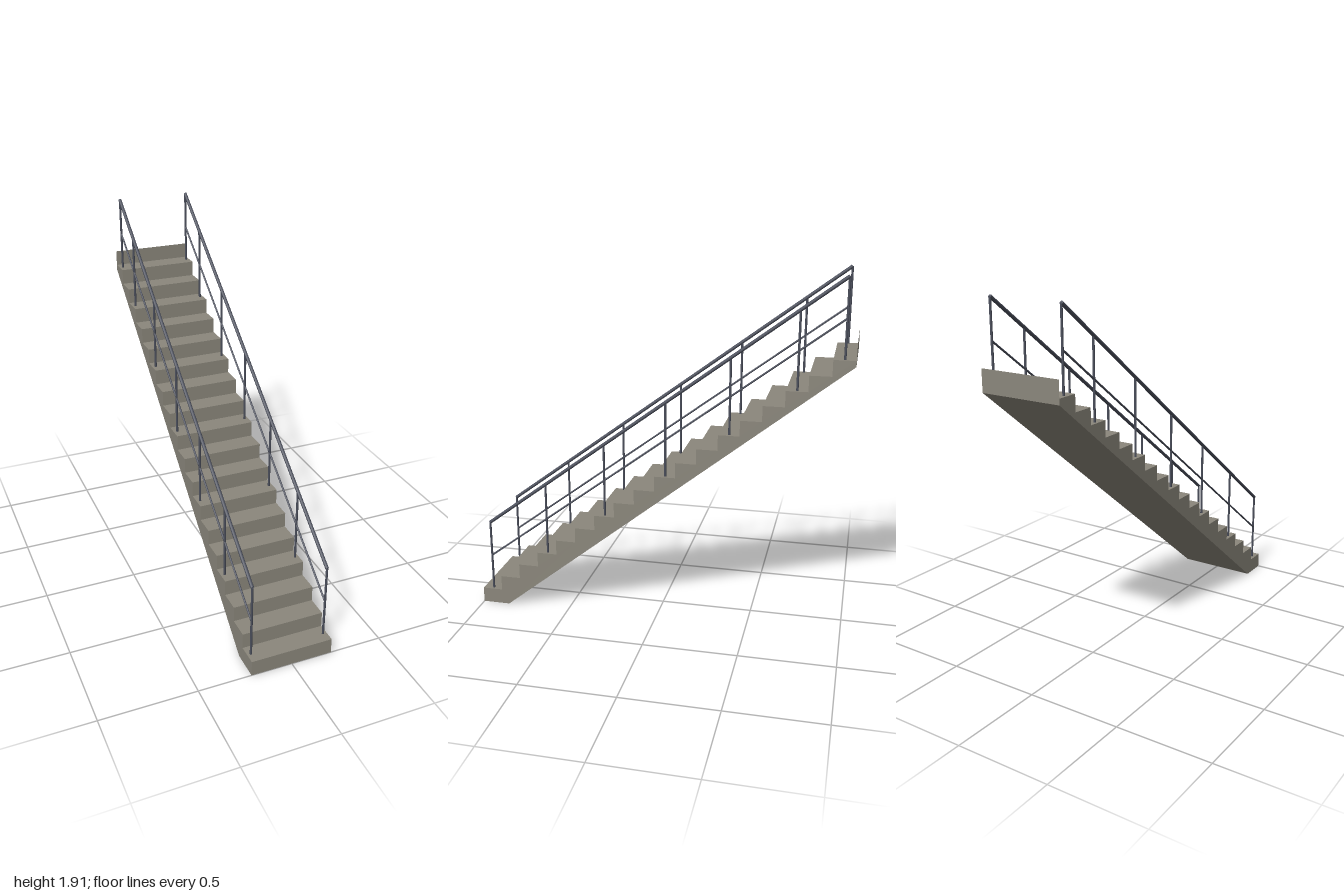
import * as THREE from 'three';

const STEPS = 18;
const RUN = 2 / STEPS;
const RISE = 1.5 / STEPS;
const WIDTH = 0.44;

export function createModel() {
  const concrete = new THREE.MeshStandardMaterial({ color: 0x8b877c, side: THREE.DoubleSide });
  concrete.name = 'concrete';
  const metal = new THREE.MeshStandardMaterial({ color: 0x4b4f5c });
  metal.name = 'railing metal';

  const model = new THREE.Group();
  model.name = 'staircase';

  const add = (parent, name, geometry, material) => {
    const mesh = new THREE.Mesh(geometry, material);
    mesh.name = name;
    parent.add(mesh);
    return mesh;
  };

  // Stepped flight with a sloping underside: side profile (-z, y) extruded across x
  const profile = new THREE.Shape();
  profile.moveTo(-0.85, 0);
  profile.lineTo(1, 1.47);
  for (let i = STEPS; i >= 1; i--) {
    profile.lineTo(-1 + i * RUN, i * RISE);
    profile.lineTo(-1 + (i - 1) * RUN, i * RISE);
  }
  profile.lineTo(-1, 0);
  const flight = new THREE.ExtrudeGeometry(profile, { depth: WIDTH, bevelEnabled: false });
  flight.translate(0, 0, -WIDTH / 2);
  flight.rotateY(Math.PI / 2);
  add(model, 'stepFlight', flight, concrete);

  // Thin last riser standing above the top tread
  const riser = add(model, 'topRiser', new THREE.PlaneGeometry(WIDTH, RISE), concrete);
  riser.position.set(0, 1.5 + RISE / 2, -1);

  // Round bar between two points
  const up = new THREE.Vector3(0, 1, 0);
  const bar = (parent, name, a, b, radius) => {
    const dir = b.clone().sub(a);
    const mesh = add(parent, name, new THREE.CylinderGeometry(radius, radius, dir.length(), 10), metal);
    mesh.position.copy(a).add(b).multiplyScalar(0.5);
    mesh.quaternion.setFromUnitVectors(up, dir.normalize());
  };

  // Railings: a post on every third tread and on the last, with two sloping rails
  const treadPoint = (x, step, height) =>
    new THREE.Vector3(x, step * RISE + height, 1 - (step - 0.5) * RUN);
  for (const [side, x] of [['left', 0.2], ['right', -0.2]]) {
    const railing = new THREE.Group();
    railing.name = side + 'Railing';
    model.add(railing);
    for (const step of [1, 4, 7, 10, 13, 16, 18]) {
      bar(railing, 'post', treadPoint(x, step, 0), treadPoint(x, step, 0.4), 0.006);
    }
    bar(railing, 'handrail', treadPoint(x, 1, 0.4), treadPoint(x, STEPS, 0.4), 0.009);
    bar(railing, 'midRail', treadPoint(x, 1, 0.2), treadPoint(x, STEPS, 0.2), 0.005);
  }

  return model;
}
